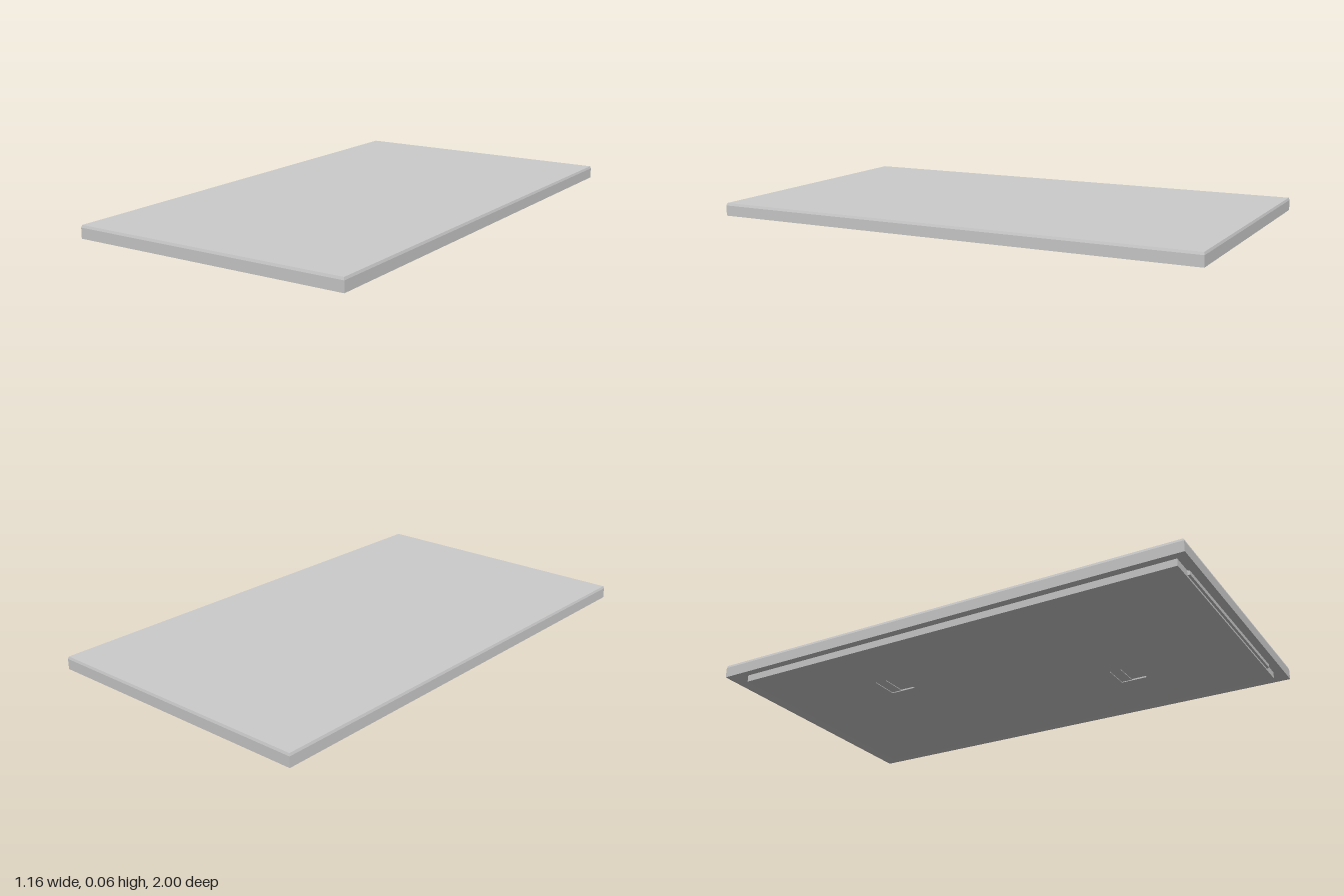
import * as THREE from 'three';

const HALF_X = 0.58, HALF_Z = 1;
const material = new THREE.MeshStandardMaterial({ color: 0xcccccc, flatShading: true });

// Skin between rectangular rings, each given as [inset from the outer edge, height]
function rectLoft(profile) {
  const rings = profile.map(([inset, y]) =>
    [[1, 1], [1, -1], [-1, -1], [-1, 1]].map(([sx, sz]) =>
      [sx * (HALF_X - inset), y, sz * (HALF_Z - inset)]));
  const positions = [];
  for (let r = 0; r < rings.length - 1; r++) {
    for (let i = 0; i < 4; i++) {
      const j = (i + 1) % 4, a = rings[r], b = rings[r + 1];
      positions.push(...a[i], ...b[i], ...b[j], ...a[i], ...b[j], ...a[j]);
    }
  }
  const geometry = new THREE.BufferGeometry();
  geometry.setAttribute('position', new THREE.Float32BufferAttribute(positions, 3));
  geometry.computeVertexNormals();
  return geometry;
}

// Rectangle outline in x and z
function rectangle(target, x0, x1, z0, z1) {
  target.moveTo(x0, z0);
  target.lineTo(x1, z0);
  target.lineTo(x1, z1);
  target.lineTo(x0, z1);
  target.closePath();
  return target;
}

export function createModel() {
  const group = new THREE.Group();
  const add = (name, geometry, x = 0, y = 0, z = 0) => {
    const mesh = new THREE.Mesh(geometry, material);
    mesh.name = name;
    mesh.position.set(x, y, z);
    group.add(mesh);
  };

  // Top sheet with a fine bevelled edge
  add('topPanel', rectLoft([[HALF_X, 0.062], [0.003, 0.062], [0, 0.052], [HALF_X, 0.052]]));

  // Skirt with a narrow rim and a sloped channel behind it
  add('edgeFrame', rectLoft([[0, 0.052], [0, 0.01], [0.008, 0.01], [0.05, 0.028], [HALF_X, 0.028]]));

  // Backing plate with two shallow rectangular pockets
  const pockets = [[0.19, 0.45], [-0.19, -0.43]];
  const w = 0.12, d = 0.11, depth = 0.03;
  const outline = rectangle(new THREE.Shape(), -0.52, 0.52, -0.935, 0.95);
  for (const [x, z] of pockets) {
    outline.holes.push(rectangle(new THREE.Path(), x - w / 2, x + w / 2, z - d / 2, z + d / 2));
  }
  const plate = new THREE.ExtrudeGeometry(outline, { depth, bevelEnabled: false });
  plate.rotateX(Math.PI / 2);
  add('backingPlate', plate, 0, depth, 0);

  // Stepped pocket floors
  for (const [x, z] of pockets) {
    add('pocketFloor', new THREE.BoxGeometry(w, 0.02, d * 0.6), x, 0.016, z + d * 0.2);
    add('pocketStep', new THREE.BoxGeometry(w, 0.02, d * 0.4), x, 0.013, z - d * 0.3);
  }

  // Thin rail in the channel at each end
  for (const z of [-0.942, 0.954]) {
    add('endRail', new THREE.BoxGeometry(0.86, 0.022, 0.012), 0, 0.019, z);
  }
  return group;
}
